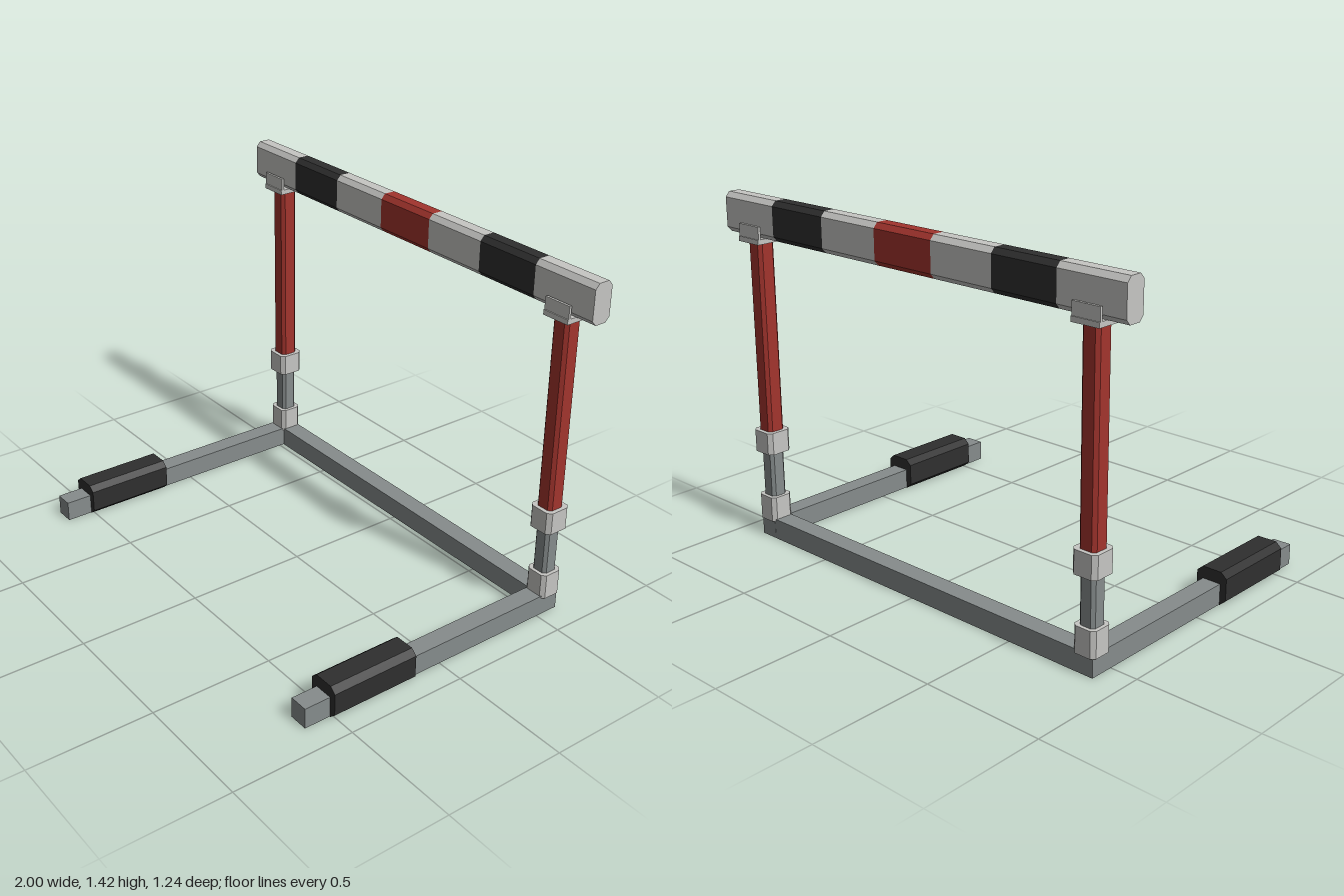
import * as THREE from 'three';

const material = (name, color) => {
  const m = new THREE.MeshStandardMaterial({ color });
  m.name = name;
  return m;
};

// Prism along z, centred, with a w x h rectangle whose corners are cut by cx, cy
function chamferedPrism(w, h, length, cx, cy = cx) {
  const a = w / 2, b = h / 2;
  const outline = [
    [a - cx, -b], [a, cy - b], [a, b - cy], [a - cx, b],
    [cx - a, b], [-a, b - cy], [-a, cy - b], [cx - a, -b],
  ].map(([x, y]) => new THREE.Vector2(x, y));
  const g = new THREE.ExtrudeGeometry(new THREE.Shape(outline), { depth: length, bevelEnabled: false });
  return g.translate(0, 0, -length / 2);
}

export function createModel() {
  const white = material('light grey', 0xc6c6c3);
  const red = material('red', 0xa2342d);
  const black = material('black', 0x2f2f2f);
  const steel = material('steel grey', 0x868c8c);

  const model = new THREE.Group();
  model.name = 'hurdle';
  const postX = 0.848, postZ = -0.56;

  const add = (parent, name, geometry, mat, x, y, z) => {
    const mesh = new THREE.Mesh(geometry, mat);
    mesh.name = name;
    mesh.position.set(x, y, z);
    parent.add(mesh);
  };
  const box = (w, h, d) => new THREE.BoxGeometry(w, h, d);

  // Striped top bar in seven equal sections
  const bar = new THREE.Group();
  bar.name = 'topBar';
  const stripe = 2 / 7;
  [white, black, white, red, white, black, white].forEach((mat, i) => {
    const g = chamferedPrism(0.083, 0.158, stripe, 0.018, 0.02).rotateY(Math.PI / 2);
    add(bar, 'barSection', g, mat, (i - 3) * stripe, 1.341, -0.562);
  });
  model.add(bar);

  // Rear cross beam on the ground
  add(model, 'crossBeam', box(2 * (postX - 0.039), 0.085, 0.078), steel, 0, 0.0425, postZ);

  for (const side of [-1, 1]) {
    const x = side * postX;
    const half = new THREE.Group();
    half.name = side > 0 ? 'leftUpright' : 'rightUpright';
    const upright = (name, w, d, y0, y1, c, mat) =>
      add(half, name, chamferedPrism(w, d, y1 - y0, c).rotateX(-Math.PI / 2), mat, x, (y0 + y1) / 2, postZ);

    // Foot with its counterweight sleeve
    add(half, 'foot', box(0.078, 0.084, 1.22), steel, x, 0.043, 0.01);
    add(half, 'weight', chamferedPrism(0.132, 0.134, 0.37, 0.025, 0.022), black, x, 0.067, 0.326);

    // Telescopic post and collars
    upright('lowerPost', 0.068, 0.068, 0.08, 0.4, 0.012, steel);
    upright('upperPost', 0.075, 0.075, 0.4, 1.242, 0.013, red);
    upright('lowerCollar', 0.097, 0.097, 0.075, 0.18, 0.015, white);
    upright('upperCollar', 0.108, 0.108, 0.37, 0.462, 0.016, white);

    // U-shaped cradle holding the bar
    add(half, 'cradleBase', box(0.118, 0.02, 0.122), white, x, 1.251, postZ);
    for (const s of [-1, 1])
      add(half, 'cradleLip', box(0.118, 0.05, 0.01), white, x, 1.286, postZ + s * 0.052);
    model.add(half);
  }
  return model;
}
